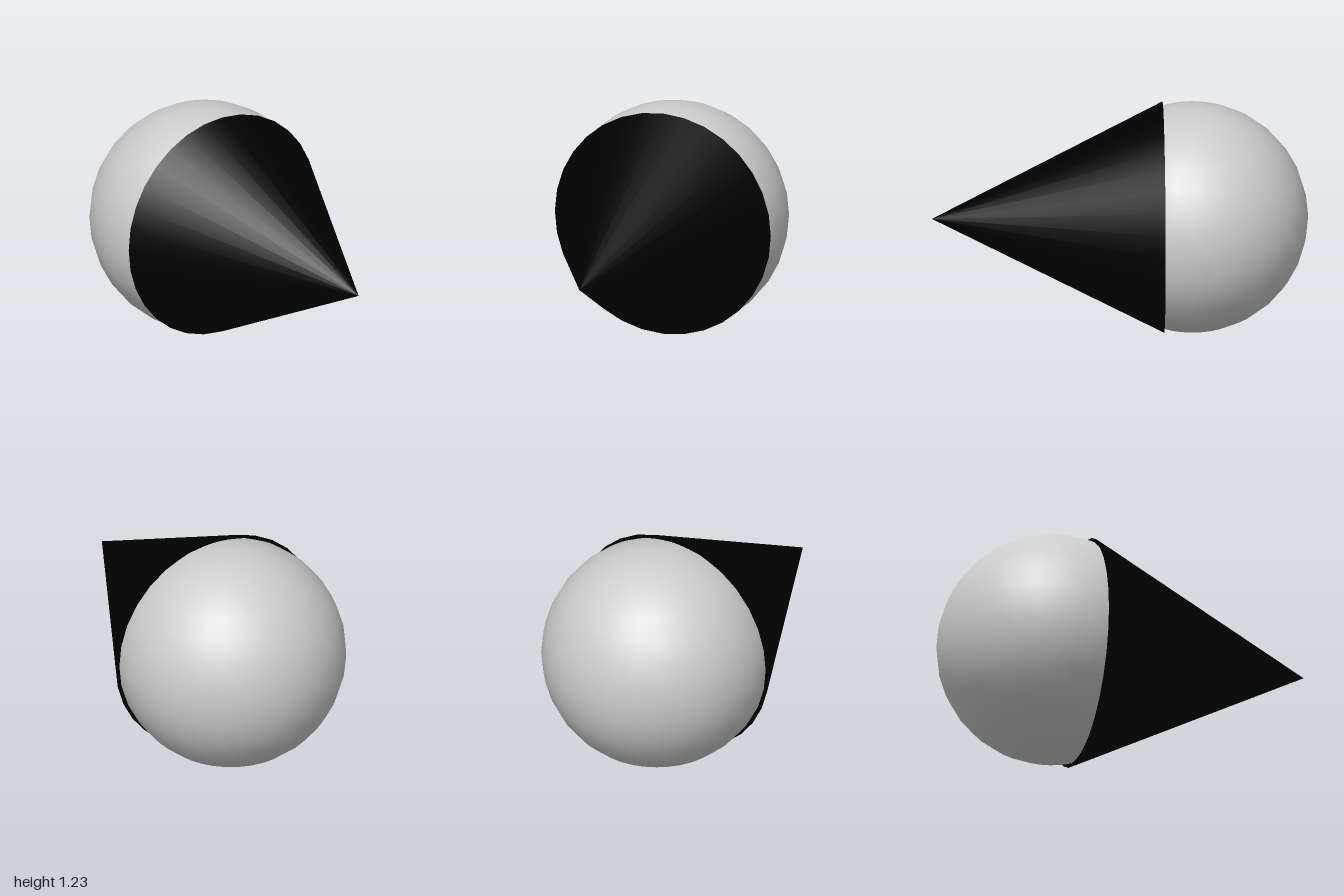
import * as THREE from 'three';

const R = 0.615;

export function createModel() {
  const group = new THREE.Group();
  group.name = 'coneAndBall';

  // Dark cone lying down, tip pointing forward
  const coneGeometry = new THREE.ConeGeometry(R, 2 * R, 32);
  coneGeometry.rotateX(Math.PI / 2);
  const cone = new THREE.Mesh(coneGeometry, new THREE.MeshStandardMaterial({ color: 0x000000 }));
  cone.name = 'cone';
  cone.position.set(0, R, 1 - R);
  group.add(cone);

  // Ball nestled in the wide end of the cone
  const ball = new THREE.Mesh(
    new THREE.SphereGeometry(R, 32, 16),
    new THREE.MeshStandardMaterial({ color: 0xcccccc })
  );
  ball.name = 'ball';
  ball.position.set(0, R, R - 1);
  group.add(ball);

  return group;
}
